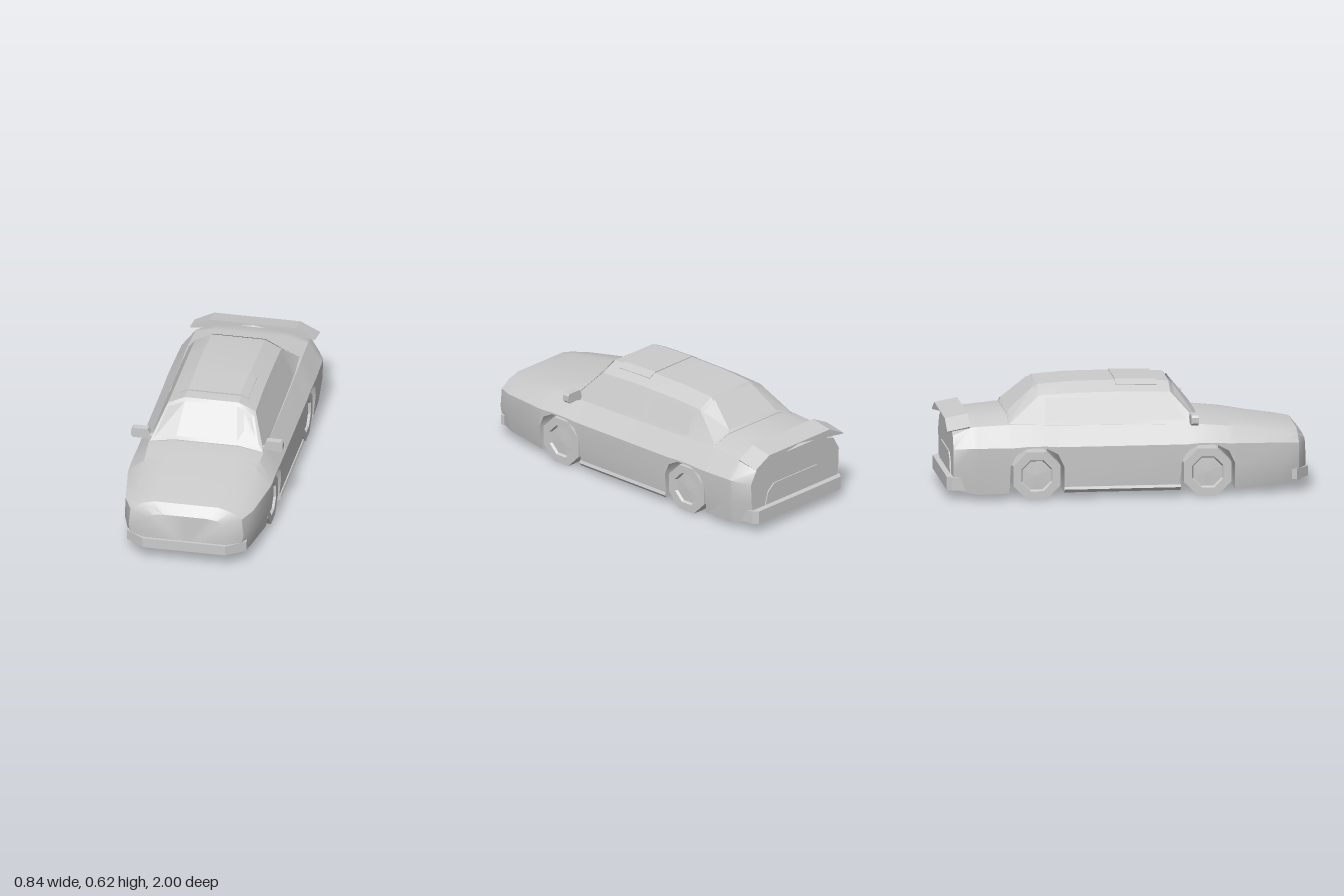
import * as THREE from 'three';
import { toCreasedNormals } from 'three/addons/utils/BufferGeometryUtils.js';

const mat = new THREE.MeshStandardMaterial({ color: 0xcccccc });
const flatMat = new THREE.MeshStandardMaterial({ color: 0xcccccc, flatShading: true });
const thinMat = new THREE.MeshStandardMaterial({ color: 0xcccccc, flatShading: true, side: THREE.DoubleSide });
const lerp = THREE.MathUtils.lerp;

function add(parent, name, geometry, material = flatMat) {
  const mesh = new THREE.Mesh(geometry, material);
  mesh.name = name;
  parent.add(mesh);
  return mesh;
}

function bufferFrom(points, index) {
  const g = new THREE.BufferGeometry();
  g.setAttribute('position', new THREE.Float32BufferAttribute(points.flat(), 3));
  g.setIndex(index);
  g.computeVertexNormals();
  return g;
}

// Skins closed rings (counterclockwise seen from +z, ordered front to back) and caps both ends
function loft(rings, crease = 0.6) {
  const n = rings[0].length, last = (rings.length - 1) * n, index = [];
  for (let i = 0; i < rings.length - 1; i++)
    for (let j = 0; j < n; j++) {
      const k = (j + 1) % n, a = i * n + j, b = i * n + k, c = b + n, d = a + n;
      index.push(a, d, c, a, c, b);
    }
  for (let j = 1; j < n - 1; j++) index.push(0, j, j + 1, last, last + j + 1, last + j);
  return toCreasedNormals(bufferFrom(rings.flat(), index), crease);
}

// Completes a half section, given as [x, y] from bottom to top, with its mirror image
const ring = (z, half) => [
  ...half.map(([x, y]) => [x, y, z]),
  ...half.filter(([x]) => x > 0).reverse().map(([x, y]) => [-x, y, z]),
];

// Open strip between two polylines of equal length
function strip(lower, upper) {
  const n = lower.length, index = [];
  for (let i = 0; i < n - 1; i++) index.push(i, i + 1, n + i + 1, i, n + i + 1, n + i);
  return bufferFrom([...lower, ...upper], index);
}

const shapeOf = (pts) => new THREE.Shape(pts.map(([x, y]) => new THREE.Vector2(x, y)));
const extrude = (pts, depth) => new THREE.ExtrudeGeometry(shapeOf(pts), { depth, bevelEnabled: false });

// Body widths and heights: z, sill x, flank x, shoulder x, y, edge x, y, crown x, y
const KEYS = [
  [0.985, 0.21, 0.235, 0.21, 0.25, 0.18, 0.27, 0.12, 0.278],
  [0.94, 0.29, 0.32, 0.31, 0.27, 0.25, 0.31, 0.18, 0.33],
  [0.85, 0.33, 0.36, 0.355, 0.28, 0.28, 0.325, 0.18, 0.348],
  [0.57, 0.37, 0.395, 0.40, 0.29, 0.31, 0.37, 0.18, 0.388],
  [0.40, 0.38, 0.395, 0.40, 0.29, 0.32, 0.387, 0.18, 0.412],
  [-0.35, 0.38, 0.395, 0.40, 0.29, 0.32, 0.395, 0.18, 0.42],
  [-0.65, 0.38, 0.395, 0.40, 0.29, 0.32, 0.405, 0.20, 0.445],
  [-0.86, 0.37, 0.39, 0.395, 0.29, 0.315, 0.395, 0.20, 0.425],
  [-0.965, 0.32, 0.345, 0.35, 0.28, 0.31, 0.35, 0.20, 0.39],
];

function bodyRing([z, yb]) {
  let i = 0;
  while (i < KEYS.length - 2 && z < KEYS[i + 1][0]) i++;
  const t = (KEYS[i][0] - z) / (KEYS[i][0] - KEYS[i + 1][0]);
  const [, xs, xf, x3, y3, x4, y4, x5, y5] = KEYS[i].map((v, k) => lerp(v, KEYS[i + 1][k], t));
  // The lower edge slides up the flank over the wheels
  const flankX = (y) => (y < 0.17 ? lerp(xs, xf, Math.max(0, (y - 0.03) / 0.14)) : lerp(xf, x3, Math.min(1, (y - 0.17) / 0.12)));
  const y2 = Math.max(0.17, yb + 0.004);
  return ring(z, [[0, yb], [flankX(yb), yb], [flankX(y2), y2], [x3, Math.max(y3, yb + 0.01)], [x4, y4], [x5, y5], [0, y5]]);
}

const arch = (c) => [
  [0.15, 0.035], [0.149, 0.18], [0.115, 0.25], [0.05, 0.285],
  [-0.05, 0.285], [-0.115, 0.25], [-0.149, 0.18], [-0.15, 0.035],
].map(([dz, y]) => [c + dz, y]);

const AXLES = [0.43, -0.51];

export function createModel() {
  const car = new THREE.Group();
  car.name = 'car';

  // Lower body with wheel arches
  const stations = [
    [0.985, 0.08], [0.94, 0.06], [0.85, 0.055], ...arch(AXLES[0]),
    ...arch(AXLES[1]), [-0.83, 0.03], [-0.86, 0.035], [-0.965, 0.055],
  ];
  add(car, 'body', loft(stations.map(bodyRing)), mat);

  // Cabin
  const cabin = [
    [0.39, 0.32, 0.385, 0.315, 0.39, 0.18, 0.415],
    [0.24, 0.32, 0.385, 0.245, 0.555, 0.15, 0.6],
    [0, 0.32, 0.385, 0.24, 0.562, 0.15, 0.612],
    [-0.3, 0.32, 0.385, 0.24, 0.56, 0.15, 0.61],
    [-0.48, 0.32, 0.39, 0.24, 0.55, 0.15, 0.597],
    [-0.655, 0.315, 0.4, 0.305, 0.41, 0.2, 0.447],
  ];
  add(car, 'cabin', loft(cabin.map(([z, a, b, c, d, e, f]) =>
    ring(z, [[0, 0.36], [a, 0.36], [a, b], [c, d], [e, f], [0, f]])), 0.4), mat);

  // Windscreen and rear window, inset from the pillars
  const screen = (base, top, dir) => {
    const edge = (t) => {
      const at = (k) => lerp(base[k], top[k], t);
      const z = at(0), pts = [[at(3), at(4)], [at(5), at(6)]];
      return [[-1, 0], [-1, 1], [1, 1], [1, 0]].map(([s, k]) => [s * pts[k][0] * 0.95, pts[k][1] + 0.005, z + dir * 0.006]);
    };
    return strip(edge(0.08), edge(0.9));
  };
  add(car, 'windscreen', screen(cabin[0], cabin[1], 1), thinMat);
  add(car, 'rearWindow', screen(cabin[5], cabin[4], -1), thinMat);

  // Side windows on the sloping cabin flank
  const panes = {
    frontWindow: [[0.325, 0.412], [-0.105, 0.412], [0.225, 0.537], [-0.105, 0.537]],
    backWindow: [[-0.15, 0.412], [-0.46, 0.412], [-0.15, 0.537], [-0.445, 0.537]],
  };
  for (const s of [1, -1])
    for (const [name, pts] of Object.entries(panes)) {
      const p = pts.map(([z, y]) => [s * (0.325 - 0.45 * (y - 0.385)), y, z]);
      add(car, name, strip(p.slice(0, 2), p.slice(2)), thinMat);
    }

  // Sunroof
  const sunroofRing = (z, y) => ring(z, [[0, y - 0.015], [0.145, y - 0.015], [0.188, y - 0.037], [0.19, y - 0.022], [0.145, y], [0, y]]);
  add(car, 'sunroof', loft([sunroofRing(0.17, 0.611), sunroofRing(-0.055, 0.617)], 0.3));

  // Rear wing with drooping ends
  const wingRing = (z, y, droop, thick) => ring(z, [
    [0, y - thick], [0.23, y - thick], [0.345, y - droop - thick], [0.35, y - droop], [0.24, y], [0, y]]);
  add(car, 'rearWing', loft([wingRing(-0.875, 0.46, 0.055, 0.008), wingRing(-1, 0.435, 0.055, 0.004)], 0.3));

  // Bumpers, drawn in plan and raised
  const bumper = (name, plan, y, height) => {
    const outline = [...plan, ...plan.map(([x, z]) => [-x, z]).reverse()].map(([x, z]) => [x, -z]);
    const m = add(car, name, extrude(outline, height));
    m.rotation.x = -Math.PI / 2;
    m.position.y = y;
  };
  bumper('frontBumper', [[0.3, 0.9], [0.333, 0.9], [0.333, 0.925], [0.23, 1]], 0.07, 0.056);
  bumper('rearBumper', [[0.32, -0.89], [0.355, -0.89], [0.35, -0.975], [0.325, -1]], 0.052, 0.074);

  // Raised panel on the tail
  const panel = add(car, 'tailPanel', extrude([[-0.24, 0.13], [0.24, 0.13], [0.22, 0.2], [0.17, 0.24], [-0.17, 0.24], [-0.22, 0.2]], 0.012));
  panel.position.z = -0.972;

  for (const s of [1, -1]) {
    // Side skirts
    const skirt = add(car, 'sideSkirt', extrude([[0.34, 0.034], [0.38, 0.034], [0.395, 0.052], [0.39, 0.066], [0.34, 0.066]].map(([x, y]) => [s * x, y]), 0.64));
    skirt.position.z = -0.36;

    // Door mirrors
    const mirror = new THREE.Group();
    mirror.name = 'doorMirror';
    const housing = [[0.33, 0.397], [0.41, 0.395], [0.422, 0.408], [0.422, 0.44], [0.412, 0.452], [0.33, 0.452], [0.318, 0.425]];
    add(mirror, 'mirrorHousing', extrude(housing.map(([x, y]) => [s * x, y]), 0.04)).position.z = 0.335;
    add(mirror, 'mirrorStem', new THREE.BoxGeometry(0.045, 0.022, 0.03)).position.set(s * 0.315, 0.4, 0.355);
    car.add(mirror);
  }

  // Eight-sided wheels with recessed rims
  const wheelProfile = [[0, -0.064], [0.141, -0.064], [0.141, 0.064], [0.093, 0.064], [0.085, 0.05], [0, 0.054]]
    .map(([r, y]) => new THREE.Vector2(r, y));
  const wheelGeo = new THREE.LatheGeometry(wheelProfile, 8, Math.PI / 8);
  for (const z of AXLES) {
    for (const s of [1, -1]) {
      const wheel = add(car, 'wheel', wheelGeo);
      wheel.rotation.z = -s * Math.PI / 2;
      wheel.position.set(s * 0.316, 0.13, z);
      const hub = add(car, 'hub', new THREE.CylinderGeometry(0.04, 0.04, 0.06, 8));
      hub.rotation.z = Math.PI / 2;
      hub.position.set(s * 0.225, 0.13, z);
    }
  }
  return car;
}
